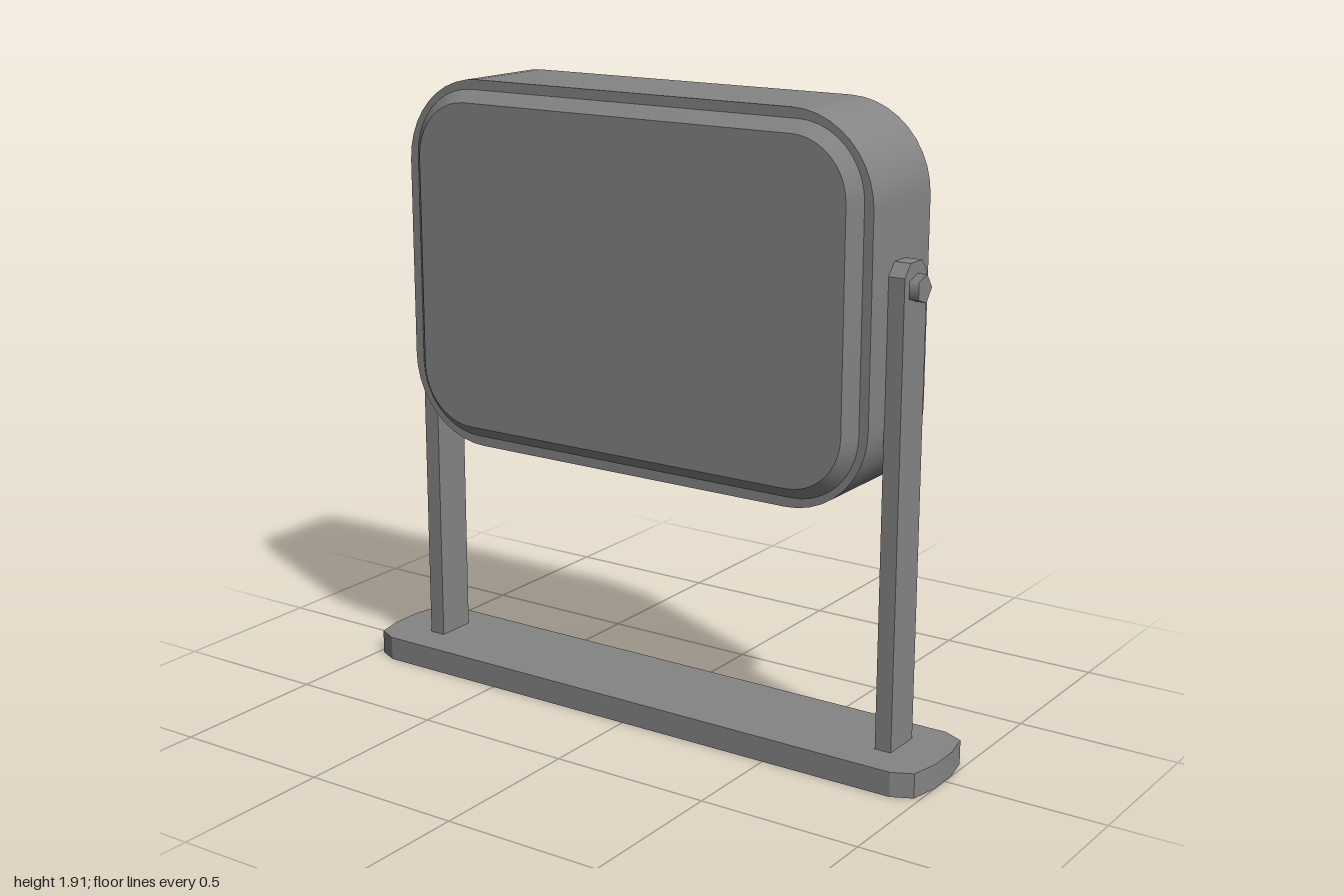
import * as THREE from 'three';
import { toCreasedNormals } from 'three/addons/utils/BufferGeometryUtils.js';

const darkGrey = new THREE.MeshStandardMaterial({ color: 0x858585 });
const CX = 0.005; // head centre
const CY = 1.344;

function roundedRect(w, h, r) {
  const x = w / 2, y = h / 2, s = new THREE.Shape();
  s.moveTo(x, -y + r);
  s.absarc(x - r, y - r, r, 0, Math.PI / 2);
  s.absarc(-x + r, y - r, r, Math.PI / 2, Math.PI);
  s.absarc(-x + r, -y + r, r, Math.PI, Math.PI * 1.5);
  s.absarc(x - r, -y + r, r, Math.PI * 1.5, Math.PI * 2);
  return s;
}

function polygon(points) {
  return new THREE.Shape(points.map(([x, y]) => new THREE.Vector2(x, y)));
}

function extrude(shape, depth, options = {}) {
  const g = new THREE.ExtrudeGeometry(shape, { depth, bevelEnabled: false, curveSegments: 5, ...options });
  return toCreasedNormals(g, 0.42);
}

export function createModel() {
  const group = new THREE.Group();
  const add = (name, geometry) => {
    const mesh = new THREE.Mesh(geometry, darkGrey);
    mesh.name = name;
    group.add(mesh);
    return mesh;
  };

  // Thick rounded housing
  add('housing', extrude(roundedRect(1.608, 1.126, 0.26), 0.32)).position.set(CX, CY, -0.165);

  // Chamfered panels standing proud of the housing, front and back
  const chamfer = 0.037;
  const panel = extrude(roundedRect(1.478, 0.994, 0.175), 0.308, {
    bevelEnabled: true, bevelSegments: 1, bevelSize: chamfer, bevelThickness: chamfer,
  });
  add('facePanels', panel).position.set(CX, CY, -0.154);

  // Base plate with clipped ends
  const end = [[0.92, -0.17], [0.982, -0.14], [1, -0.05], [1, 0.05], [0.982, 0.14], [0.92, 0.17]];
  const base = extrude(polygon([...end, ...end.map(([x, y]) => [-x, -y])]), 0.075);
  base.rotateX(-Math.PI / 2);
  add('basePlate', base).position.z = 0.01;

  // Uprights with clipped tops, and five-sided pivot bolts
  const post = extrude(polygon([
    [-0.064, 0.07], [0.064, 0.07], [0.064, 1.457], [0.033, 1.494], [-0.033, 1.494], [-0.064, 1.457],
  ]), 0.052);
  post.translate(0, 0, -0.026);
  post.rotateY(Math.PI / 2);
  const bolt = new THREE.CylinderGeometry(0.042, 0.042, 0.1, 5, 1, false, Math.PI);
  bolt.rotateZ(Math.PI / 2);
  for (const [side, sign] of [['left', 1], ['right', -1]]) {
    add(side + 'Post', post).position.x = CX + sign * 0.828;
    add(side + 'PivotBolt', bolt).position.set(CX + sign * 0.833, 1.42, 0.003);
  }
  return group;
}
